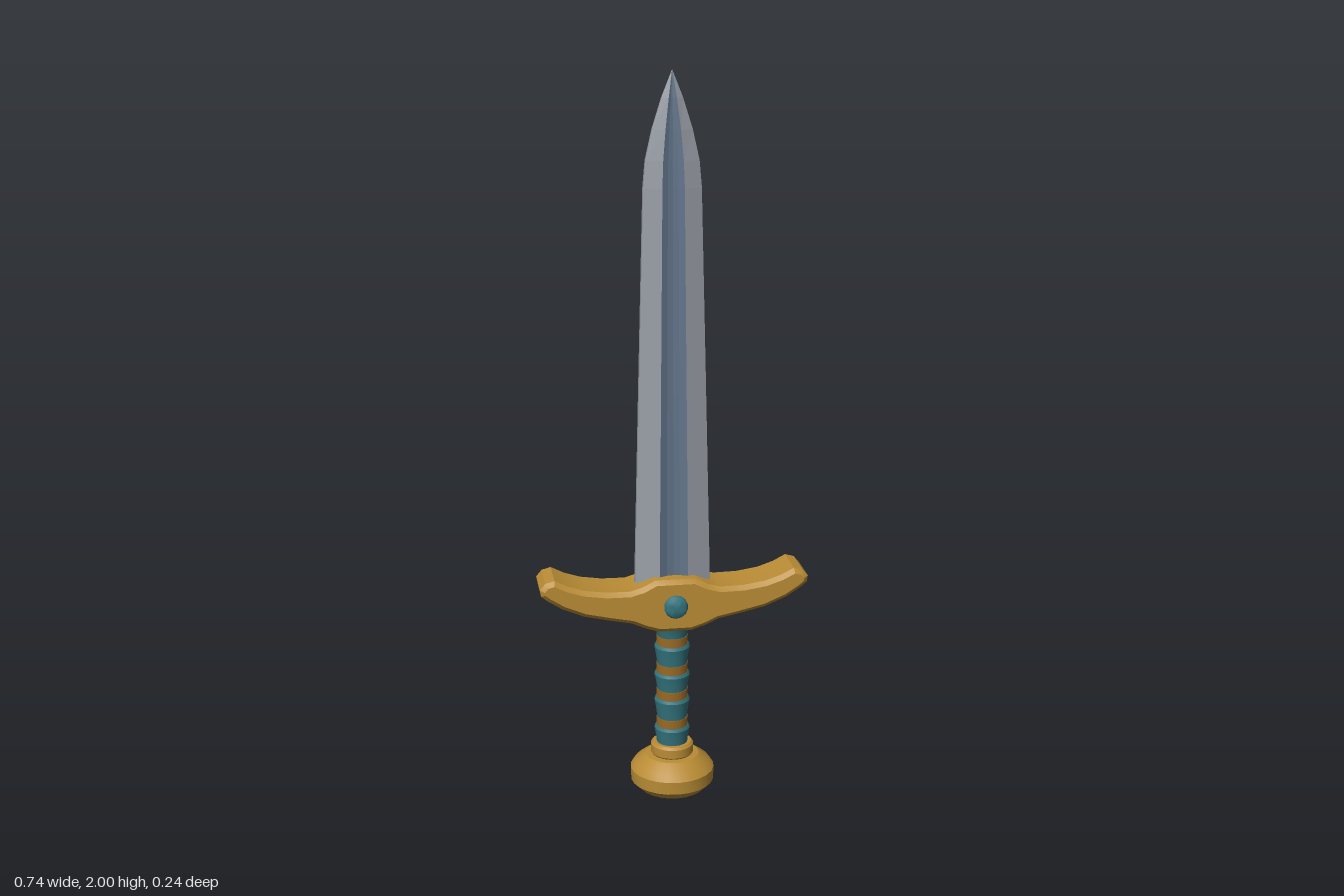
import * as THREE from 'three';
import { toCreasedNormals } from 'three/addons/utils/BufferGeometryUtils.js';

const mat = (name, color, extra = {}) => {
  const m = new THREE.MeshStandardMaterial({ color, ...extra });
  m.name = name;
  return m;
};

export function createModel() {
  const gold = mat('gold', 0xb98c35);
  const teal = mat('teal', 0x34757f);
  const leather = mat('brown binding', 0x9a6a25);
  const steel = mat('steel', 0x9a9fa7, { flatShading: true });
  const blueSteel = mat('blue steel', 0x62758a, { flatShading: true });

  const model = new THREE.Group();
  model.name = 'sword';
  const add = (name, geometry, material, parent = model) => {
    const mesh = new THREE.Mesh(geometry, material);
    mesh.name = name;
    parent.add(mesh);
    return mesh;
  };
  const lathe = (points, segments = 20) => toCreasedNormals(
    new THREE.LatheGeometry(points.map(([r, y]) => new THREE.Vector2(r, y)), segments), 0.5);

  // Blade: lofted section with a shallow central groove on both faces
  const section = (y, w, t, e) => {
    const front = [[w, e], [0.38 * w, t], [0.18 * w, 0.72 * t], [0, 0.64 * t],
      [-0.18 * w, 0.72 * t], [-0.38 * w, t], [-w, e]];
    const back = front.map(([x, z]) => [-x, -z]);
    return [...front, ...back].map(([x, z]) => [x, y, z]);
  };
  const levels = [
    [0.58, 0.105, 0.034, 0.01], [1.15, 0.091, 0.03, 0.009], [1.7, 0.077, 0.026, 0.008],
    [1.77, 0.071, 0.024, 0.007], [1.85, 0.053, 0.02, 0.006], [1.93, 0.028, 0.013, 0.004],
    [2, 0.0005, 0.0005, 0.0003],
  ].map((l) => section(...l));
  const loft = (columns) => {
    const pos = [];
    for (const i of columns) {
      const j = (i + 1) % 14;
      for (let k = 0; k < levels.length - 1; k++) {
        const [a, b] = [levels[k], levels[k + 1]];
        pos.push(...a[i], ...b[i], ...a[j], ...a[j], ...b[i], ...b[j]);
      }
    }
    const g = new THREE.BufferGeometry();
    g.setAttribute('position', new THREE.Float32BufferAttribute(pos, 3));
    g.computeVertexNormals();
    return g;
  };
  const blade = new THREE.Group();
  blade.name = 'blade';
  model.add(blade);
  add('bladeEdges', loft([0, 5, 6, 7, 12, 13]), steel, blade);
  add('bladeGroove', loft([1, 2, 3, 4, 8, 9, 10, 11]), blueSteel, blade);

  // Crossguard: mirrored outline, extruded with a bevel
  const half = [[0.055, 0.64], [0.09, 0.622], [0.125, 0.612], [0.19, 0.613], [0.25, 0.622],
    [0.295, 0.637], [0.33, 0.655], [0.355, 0.648], [0.37, 0.63], [0.367, 0.612], [0.35, 0.598],
    [0.31, 0.572], [0.25, 0.547], [0.18, 0.531], [0.12, 0.519], [0.085, 0.503], [0.045, 0.49]];
  const outline = [...half, ...half.map(([x, y]) => [-x, y]).reverse()];
  const guard = new THREE.ExtrudeGeometry(
    new THREE.Shape(outline.map(([x, y]) => new THREE.Vector2(x, y))),
    { depth: 0.112, bevelEnabled: true, bevelThickness: 0.012, bevelSize: 0.012,
      bevelOffset: -0.012, bevelSegments: 1 });
  guard.translate(0, 0, -0.056);
  add('crossguard', toCreasedNormals(guard, 0.5), gold);

  // Round gems on the front and back of the guard
  for (const side of [1, -1]) {
    const gem = add(side > 0 ? 'frontGem' : 'backGem',
      lathe([[0.033, 0], [0.033, 0.014], [0.028, 0.022], [0.016, 0.028], [0, 0.029]], 14), teal);
    gem.position.set(0, 0.565, side * 0.059);
    gem.rotation.x = side * Math.PI / 2;
  }

  // Grip: flared segments separated by bindings
  const grip = new THREE.Group();
  grip.name = 'grip';
  model.add(grip);
  const joints = [0.125, 0.2, 0.285, 0.362, 0.445, 0.51];
  for (let i = 0; i < joints.length - 1; i++) {
    const y0 = joints[i] + (i ? 0.012 : 0);
    const y1 = joints[i + 1] - 0.012;
    add('gripSegment', lathe([[0, y0], [0.042, y0], [0.046, y0 + (y1 - y0) * 0.5],
      [0.05, y1 - 0.008], [0.046, y1], [0, y1]], 16), teal, grip);
    if (i) {
      add('gripBinding', new THREE.CylinderGeometry(0.044, 0.044, 0.026, 16), leather, grip)
        .position.y = joints[i];
    }
  }

  // Pommel and its collar
  add('pommel', lathe([[0, 0], [0.093, 0], [0.117, 0.024], [0.118, 0.06], [0.105, 0.078],
    [0.075, 0.1], [0.054, 0.102], [0, 0.102]], 24), gold);
  add('pommelCollar', lathe([[0, 0.095], [0.052, 0.095], [0.06, 0.106], [0.06, 0.13],
    [0.054, 0.137], [0, 0.137]], 24), gold);

  return model;
}
